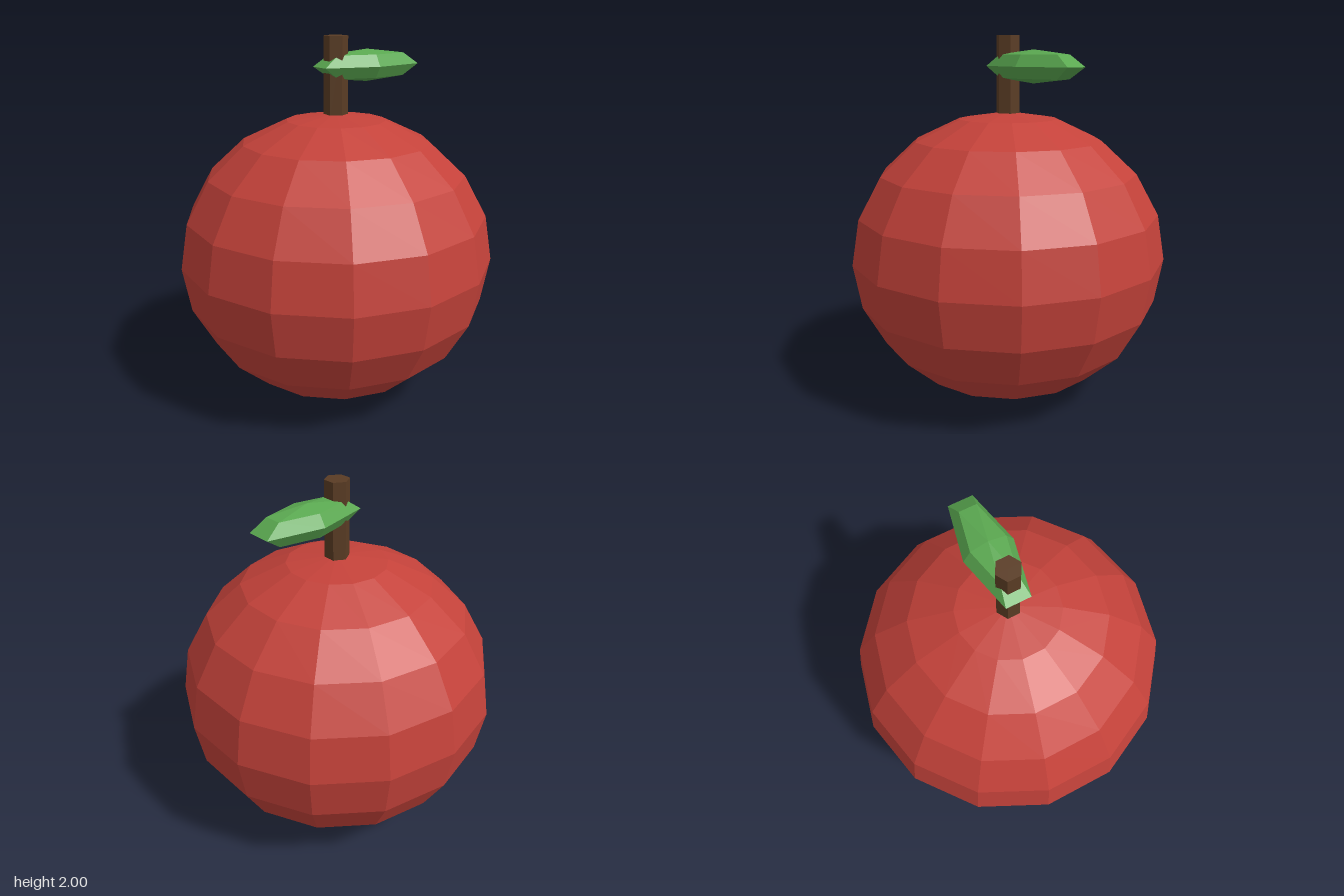
import * as THREE from 'three';

const fruitRed = new THREE.MeshStandardMaterial({ name: 'fruitRed', color: 0xc4423a, flatShading: true });
const stemBrown = new THREE.MeshStandardMaterial({ name: 'stemBrown', color: 0x5a3c24, flatShading: true });
const leafGreen = new THREE.MeshStandardMaterial({ name: 'leafGreen', color: 0x5aa850, flatShading: true });

// Faceted ellipsoid with its first meridian on the z axis
function ellipsoid(rx, ry, rz, sides, rings) {
  return new THREE.SphereGeometry(1, sides, rings).rotateY(Math.PI / 2).scale(rx, ry, rz);
}

function addPart(group, name, geometry, material, x, y, z) {
  const mesh = new THREE.Mesh(geometry, material);
  mesh.name = name;
  mesh.position.set(x, y, z);
  group.add(mesh);
}

export function createModel() {
  const model = new THREE.Group();
  model.name = 'apple';

  // Slightly squashed round body
  addPart(model, 'fruit', ellipsoid(0.87, 0.8, 0.87, 14, 10), fruitRed, 0, 0.8, 0);

  // Hexagonal stem, sunk a little into the top
  addPart(model, 'stem', new THREE.CylinderGeometry(0.065, 0.065, 0.44, 6), stemBrown, 0, 1.78, 0);

  // Flat elongated leaf reaching out to the side
  addPart(model, 'leaf', ellipsoid(0.342, 0.086, 0.13, 6, 4), leafGreen, 0.195, 1.84, 0);

  return model;
}
